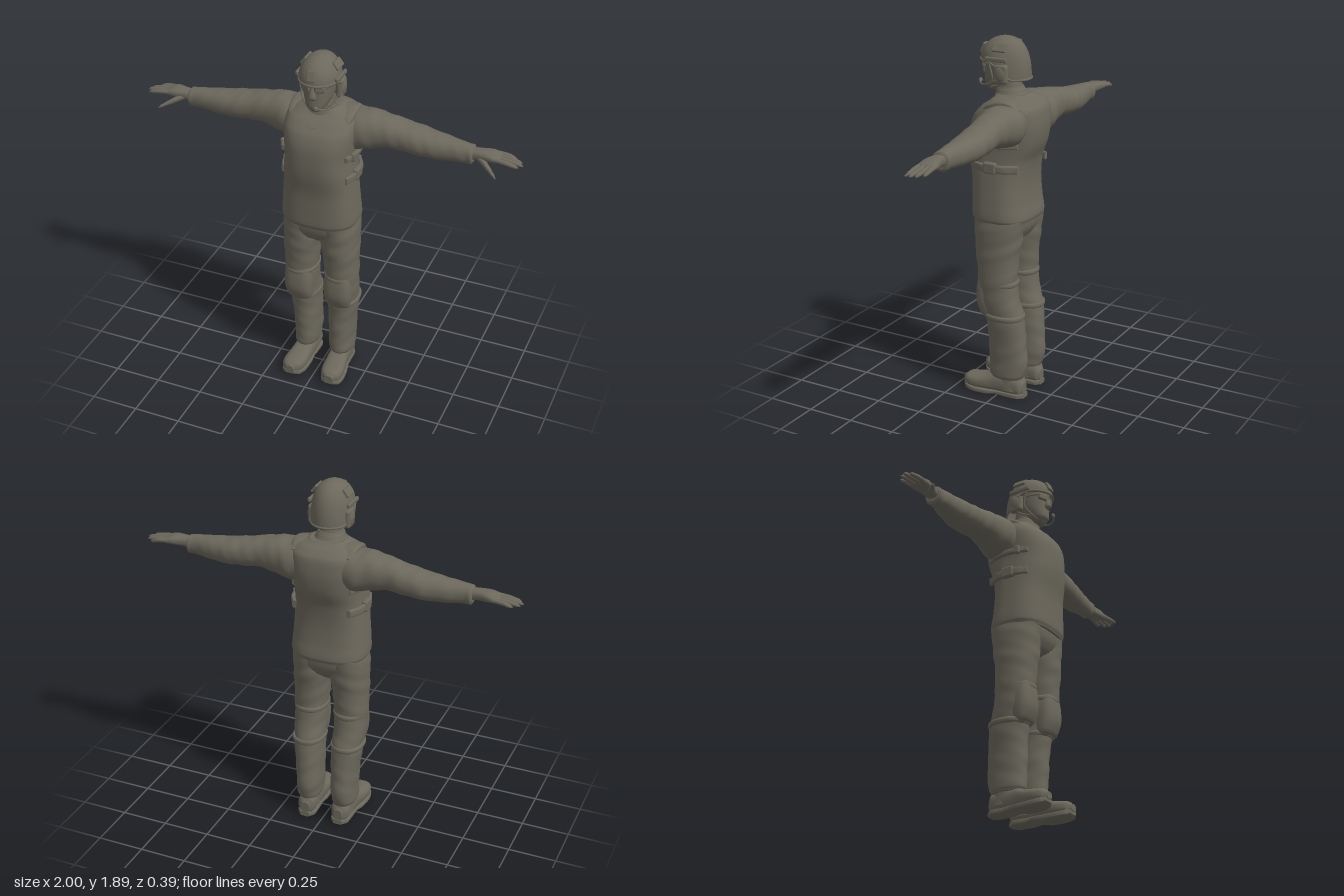
import * as THREE from 'three';
import { RoundedBoxGeometry } from 'three/addons/geometries/RoundedBoxGeometry.js';

const fabric = new THREE.MeshStandardMaterial({ color: 0x6c685c, side: THREE.DoubleSide });
fabric.name = 'olive drab';

// Smooth skin through rounded cross-sections [t, centreA, centreB, radiusA, radiusB].
// Axis y: A = x, B = z.  Axis x: A = y, B = z.  Axis z: A = x, B = y.
function loft(axis, rows, { n = 2.2, sides = 36, steps = 5, wrinkle = 0, freq = 60 } = {}) {
  const rings = [];
  for (let i = 0; i < rows.length - 1; i++) {
    const [p0, p1, p2, p3] = [rows[Math.max(i - 1, 0)], rows[i], rows[i + 1], rows[Math.min(i + 2, rows.length - 1)]];
    for (let s = 0; s < steps; s++) {
      const f = s / steps;
      rings.push(p1.map((b, k) => {
        if (k === 0) return b + (p2[0] - b) * f;
        const m1 = (p2[k] - p0[k]) / 2, m2 = (p3[k] - b) / 2, d = p2[k] - b;
        return b + f * (m1 + f * (3 * d - 2 * m1 - m2 + f * (m1 + m2 - 2 * d)));
      }));
    }
  }
  rings.push(rows[rows.length - 1]);
  const pos = [], idx = [];
  const put = (t, a, b) => pos.push(...(axis === 'y' ? [a, t, b] : axis === 'x' ? [t, a, b] : [a, b, t]));
  const pow = v => Math.sign(v) * Math.abs(v) ** (2 / n);
  const ring = ([t, ca, cb, ra, rb]) => {
    for (let j = 0; j < sides; j++) {
      const g = j / sides * Math.PI * 2, u = pow(Math.cos(g)), v = pow(Math.sin(g));
      const k = 1 + wrinkle * (Math.sin(t * freq + 2 * Math.sin(g + 1)) + 0.6 * Math.sin(t * freq * 1.7 + 3 * g));
      if (axis === 'y') put(t, ca + ra * k * u, cb + rb * k * v);
      else if (axis === 'x') put(t, ca + ra * k * v, cb + rb * k * u);
      else put(t, ca + ra * k * v, cb + rb * k * u);
    }
  };
  rings.forEach(ring);
  for (let i = 0; i < rings.length - 1; i++) for (let j = 0; j < sides; j++) {
    const a = i * sides + j, b = i * sides + (j + 1) % sides;
    idx.push(a, a + sides, b, b, a + sides, b + sides);
  }
  // flat end caps
  for (const [r, end] of [[rings[0], false], [rings[rings.length - 1], true]]) {
    const base = pos.length / 3;
    ring(r);
    put(r[0], r[1], r[2]);
    for (let j = 0; j < sides; j++) {
      const a = base + j, b = base + (j + 1) % sides;
      idx.push(base + sides, ...(end ? [b, a] : [a, b]));
    }
  }
  const g = new THREE.BufferGeometry();
  g.setAttribute('position', new THREE.Float32BufferAttribute(pos, 3));
  g.setIndex(idx);
  g.computeVertexNormals();
  return g;
}

function mirrored(geo) {
  const g = geo.clone().scale(-1, 1, 1);
  const src = g.index ? Array.from(g.index.array) : Array.from({ length: g.attributes.position.count }, (_, i) => i);
  for (let i = 0; i < src.length; i += 3) [src[i + 1], src[i + 2]] = [src[i + 2], src[i + 1]];
  g.setIndex(src);
  return g;
}

const V = (x, y, z) => new THREE.Vector3(x, y, z);
const box = (w, h, d, x, y, z, r = 0.006) => new RoundedBoxGeometry(w, h, d, 2, r).translate(x, y, z);
const ball = (x, y, z, rx, ry, rz) => new THREE.SphereGeometry(1, 24, 16).scale(rx, ry, rz).translate(x, y, z);
const tube = (pts, r, closed = false) =>
  new THREE.TubeGeometry(new THREE.CatmullRomCurve3(pts.map(p => V(...p)), closed), 40, r, 8, closed);

export function createModel() {
  const model = new THREE.Group();
  const add = (name, geo) => {
    const m = new THREE.Mesh(geo, fabric);
    m.name = name;
    model.add(m);
  };
  const pair = (name, geo) => { add(name + 'Left', geo); add(name + 'Right', mirrored(geo)); };

  // Torso with vest
  add('torso', loft('y', [
    [0.962, 0, 0.003, 0.19, 0.15], [0.985, 0, 0.004, 0.199, 0.157], [1.06, 0, 0.01, 0.195, 0.152],
    [1.17, 0, 0.014, 0.186, 0.151], [1.28, 0, 0.016, 0.178, 0.167], [1.36, 0, 0.002, 0.174, 0.184],
    [1.44, 0, -0.008, 0.182, 0.187], [1.5, 0, -0.019, 0.186, 0.174], [1.548, 0, -0.036, 0.178, 0.146],
    [1.582, 0, -0.042, 0.145, 0.106], [1.605, 0, -0.03, 0.09, 0.08]], { n: 2.7, sides: 56 }));
  add('vestNeckline', tube([[-0.085, 1.555, 0.055], [-0.05, 1.532, 0.106], [0, 1.526, 0.122],
    [0.05, 1.532, 0.106], [0.085, 1.555, 0.055]], 0.009));
  pair('shoulderStrap', loft('z', [[-0.14, 0.13, 1.54, 0.03, 0.02], [-0.09, 0.13, 1.575, 0.04, 0.018],
    [-0.03, 0.13, 1.578, 0.042, 0.018], [0.04, 0.125, 1.553, 0.04, 0.02], [0.09, 0.12, 1.51, 0.03, 0.02]], { n: 3 }));
  // Side straps and buckles
  for (const [y, h] of [[1.375, 0.014], [1.255, 0.02]]) {
    pair('sideStrap', loft('z', [[-0.13, 0.145, y, 0.012, h], [-0.07, 0.178, y, 0.012, h], [0, 0.187, y, 0.012, h],
      [0.06, 0.182, y, 0.012, h], [0.11, 0.163, y, 0.012, h]], { n: 4, sides: 24 }));
  }
  pair('buckle', box(0.03, 0.058, 0.07, 0.188, 1.258, 0.005, 0.01));
  pair('strapLoop', box(0.024, 0.045, 0.03, 0.187, 1.375, 0.06, 0.008));

  // Neck and collar
  add('neck', loft('y', [[1.56, 0, -0.015, 0.07, 0.075], [1.62, 0, -0.004, 0.06, 0.064], [1.7, 0, 0.008, 0.058, 0.064]]));
  add('collar', loft('y', [[1.565, 0, -0.022, 0.108, 0.095], [1.6, 0, -0.014, 0.08, 0.08], [1.625, 0, -0.008, 0.068, 0.072],
    [1.64, 0, -0.005, 0.062, 0.066]]));

  // Sleeves
  pair('sleeve', loft('x', [
    [0.09, 1.475, -0.06, 0.095, 0.105], [0.17, 1.475, -0.06, 0.104, 0.112], [0.25, 1.483, -0.062, 0.096, 0.097],
    [0.33, 1.485, -0.066, 0.08, 0.085], [0.42, 1.473, -0.072, 0.073, 0.083], [0.49, 1.464, -0.073, 0.069, 0.083],
    [0.56, 1.457, -0.071, 0.065, 0.073], [0.65, 1.455, -0.068, 0.057, 0.058], [0.72, 1.453, -0.064, 0.05, 0.046],
    [0.75, 1.452, -0.064, 0.048, 0.047], [0.757, 1.453, -0.064, 0.038, 0.037]], { wrinkle: 0.016, freq: 55 }));

  // Hands
  pair('palm', loft('x', [[0.74, 1.458, -0.064, 0.028, 0.032], [0.79, 1.462, -0.064, 0.027, 0.036],
    [0.84, 1.464, -0.068, 0.024, 0.046], [0.88, 1.46, -0.07, 0.017, 0.046], [0.893, 1.458, -0.07, 0.009, 0.04]], { n: 2.5 }));
  [[-0.108, 0.96], [-0.084, 0.989], [-0.059, 0.999], [-0.034, 0.982]].forEach(([z, tip]) =>
    pair('finger', loft('x', [[0.86, 1.463, z, 0.011, 0.011], [0.92, 1.457, z, 0.012, 0.0125],
      [tip - 0.015, 1.449, z + 0.001, 0.009, 0.01], [tip, 1.446, z + 0.001, 0.002, 0.003]], { n: 2, sides: 14 })));
  pair('thumb', loft('x', [[0.775, 1.452, -0.05, 0.014, 0.018], [0.82, 1.438, -0.024, 0.017, 0.02],
    [0.86, 1.422, 0.008, 0.012, 0.015], [0.885, 1.411, 0.029, 0.008, 0.009], [0.895, 1.406, 0.037, 0.002, 0.003]], { sides: 16 }));

  // Trousers
  add('pelvis', loft('y', [[0.835, 0, 0.0, 0.07, 0.065], [0.87, 0, 0.002, 0.14, 0.105], [0.92, 0, 0.002, 0.184, 0.132],
    [0.99, 0, 0.002, 0.19, 0.14]], { n: 2.6 }));
  pair('trouserLeg', loft('y', [
    [0.105, 0.099, -0.045, 0.058, 0.088], [0.125, 0.099, -0.045, 0.064, 0.097], [0.2, 0.098, -0.05, 0.067, 0.105],
    [0.3, 0.1, -0.045, 0.07, 0.103], [0.4, 0.104, -0.04, 0.077, 0.102], [0.48, 0.108, -0.025, 0.08, 0.104],
    [0.56, 0.111, -0.002, 0.083, 0.104], [0.66, 0.111, 0.004, 0.086, 0.104], [0.76, 0.107, 0.007, 0.091, 0.112],
    [0.84, 0.102, 0.005, 0.097, 0.122], [0.92, 0.102, 0.002, 0.096, 0.13], [0.98, 0.1, 0.002, 0.094, 0.136]],
  { wrinkle: 0.014, freq: 48 }));
  // Knee pads with strap at the back
  pair('kneePad', loft('y', [[0.43, 0.108, 0.035, 0.045, 0.022], [0.46, 0.108, 0.045, 0.066, 0.045], [0.52, 0.11, 0.053, 0.074, 0.059],
    [0.59, 0.11, 0.055, 0.074, 0.058], [0.65, 0.11, 0.052, 0.066, 0.054], [0.675, 0.11, 0.05, 0.05, 0.046]], { n: 2.6 }));
  for (const [y, z] of [[0.455, -0.032], [0.635, 0.003]]) {
    pair('kneeStrap', loft('y', [[y - 0.014, 0.109, z, 0.08, 0.104], [y - 0.008, 0.109, z, 0.086, 0.109],
      [y + 0.008, 0.109, z, 0.087, 0.109], [y + 0.014, 0.109, z, 0.081, 0.104]], { steps: 2 }));
  }

  // Boots
  pair('bootShaft', loft('y', [[0.04, 0.098, -0.06, 0.052, 0.078], [0.1, 0.098, -0.052, 0.05, 0.07], [0.18, 0.098, -0.05, 0.05, 0.07]]));
  pair('bootUpper', loft('z', [[-0.143, 0.095, 0.055, 0.024, 0.03], [-0.125, 0.096, 0.062, 0.044, 0.052],
    [-0.06, 0.098, 0.066, 0.051, 0.058], [0.02, 0.1, 0.064, 0.053, 0.057], [0.07, 0.104, 0.057, 0.058, 0.046],
    [0.13, 0.109, 0.053, 0.06, 0.04], [0.175, 0.112, 0.053, 0.048, 0.034], [0.198, 0.113, 0.053, 0.022, 0.018]], { n: 2.5 }));
  pair('bootSole', loft('z', [[-0.146, 0.095, 0.014, 0.026, 0.014], [-0.12, 0.096, 0.014, 0.048, 0.014], [-0.04, 0.098, 0.014, 0.05, 0.014],
    [0.0, 0.1, 0.018, 0.052, 0.011], [0.05, 0.104, 0.014, 0.06, 0.014], [0.13, 0.109, 0.016, 0.062, 0.015],
    [0.175, 0.112, 0.022, 0.05, 0.015], [0.195, 0.113, 0.03, 0.026, 0.011]], { n: 5 }));

  // Head, masked lower face and nose
  add('head', loft('y', [[1.612, 0, 0.075, 0.026, 0.036], [1.635, 0, 0.066, 0.05, 0.062], [1.68, 0, 0.04, 0.07, 0.088],
    [1.74, 0, 0.028, 0.08, 0.1], [1.79, 0, 0.022, 0.085, 0.106], [1.84, 0, 0.02, 0.07, 0.08]]));
  add('nose', loft('y', [[1.685, 0, 0.125, 0.017, 0.012], [1.7, 0, 0.133, 0.019, 0.016], [1.755, 0, 0.122, 0.01, 0.012]]));
  // Eyewear
  pair('lens', new RoundedBoxGeometry(0.054, 0.036, 0.02, 3, 0.009).rotateY(0.35).translate(0.036, 1.744, 0.121));
  pair('eyewearArm', tube([[0.058, 1.754, 0.115], [0.078, 1.75, 0.07], [0.086, 1.745, 0.01]], 0.005));
  add('eyewearBridge', box(0.035, 0.01, 0.014, 0, 1.756, 0.128, 0.004));

  // Helmet shell: the rim dips towards the back and sides
  const rimDip = z => 0.085 * THREE.MathUtils.smoothstep(-z, -0.05, 0.085);
  const shell = new THREE.SphereGeometry(1, 48, 20, 0, Math.PI * 2, 0, Math.PI / 2).scale(0.105, 0.118, 0.132);
  const p = shell.attributes.position;
  for (let i = 0; i < p.count; i++) {
    const low = 1 - p.getY(i) / 0.118;
    p.setY(i, p.getY(i) - rimDip(p.getZ(i)) * low * low);
  }
  shell.translate(0, 1.767, 0.018).computeVertexNormals();
  add('helmet', shell);
  add('helmetRim', tube(Array.from({ length: 32 }, (_, i) => {
    const a = i / 32 * Math.PI * 2, z = 0.132 * Math.sin(a);
    return [0.104 * Math.cos(a), 1.767 - rimDip(z), 0.018 + z];
  }), 0.006, true));
  add('helmetMount', new RoundedBoxGeometry(0.046, 0.055, 0.018, 2, 0.006).rotateX(-0.4).translate(0, 1.815, 0.14));
  pair('helmetPatch', new RoundedBoxGeometry(0.014, 0.045, 0.075, 2, 0.005).rotateZ(0.65).translate(0.083, 1.838, 0.01));
  pair('helmetRail', box(0.016, 0.022, 0.12, 0.103, 1.782, 0.02));

  // Headset, chin strap and microphone
  pair('earCup', box(0.036, 0.098, 0.076, 0.094, 1.712, -0.005, 0.016));
  pair('earCupCover', ball(0.109, 1.712, -0.005, 0.01, 0.036, 0.028));
  pair('chinStrap', tube([[0.1, 1.765, 0.06], [0.095, 1.69, 0.045], [0.07, 1.642, 0.07], [0, 1.612, 0.098]], 0.005));
  pair('napeStrap', tube([[0.1, 1.7, -0.03], [0.09, 1.655, 0.01], [0.06, 1.637, 0.065]], 0.005));
  add('microphoneBoom', tube([[0.108, 1.685, 0.015], [0.1, 1.655, 0.07], [0.065, 1.645, 0.125], [0.03, 1.65, 0.15]], 0.004));
  add('microphone', ball(0.025, 1.651, 0.15, 0.013, 0.013, 0.009));

  return model;
}
